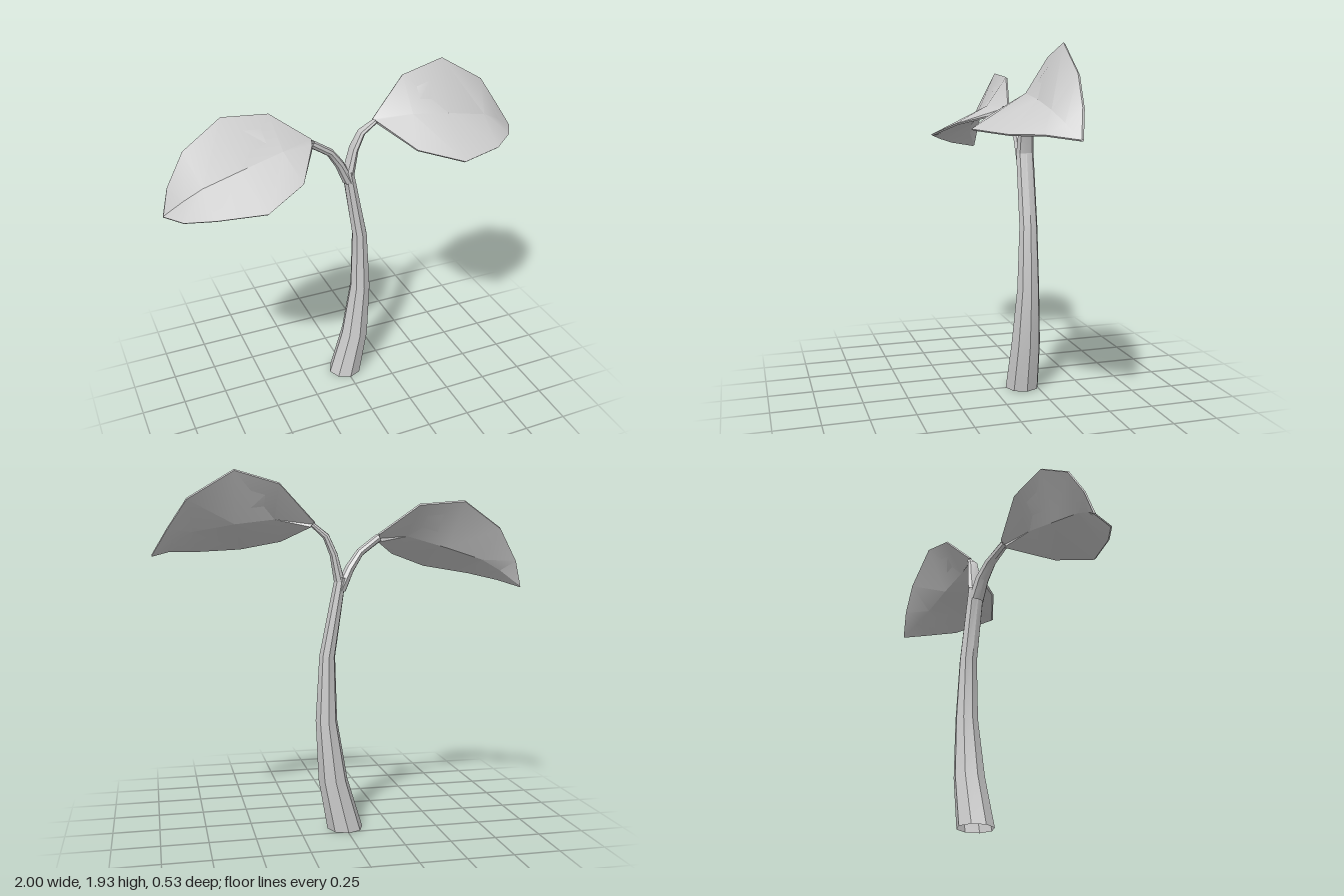
import * as THREE from 'three';
import { toCreasedNormals } from 'three/addons/utils/BufferGeometryUtils.js';

// Skin a list of closed point loops, each running right-handed around the path.
function loft(loops, flip = false) {
  const n = loops[0].length;
  const index = [];
  for (let i = 0; i < loops.length - 1; i++) {
    for (let j = 0; j < n; j++) {
      const a = i * n + j, b = i * n + (j + 1) % n;
      const c = b + n, d = a + n;
      if (flip) index.push(a, c, b, a, d, c);
      else index.push(a, b, c, a, c, d);
    }
  }
  const geo = new THREE.BufferGeometry();
  geo.setAttribute('position', new THREE.Float32BufferAttribute(loops.flat(2), 3));
  geo.setIndex(index);
  return toCreasedNormals(geo, THREE.MathUtils.degToRad(30));
}

// Eight-sided tube; each ring is [x, y, z, radius across, radius in z, tilt in degrees].
function tube(rings) {
  return loft(rings.map(([x, y, z, ru, rz, tilt]) => {
    const t = THREE.MathUtils.degToRad(tilt);
    return Array.from({ length: 8 }, (_, k) => {
      const a = k * Math.PI / 4, s = ru * Math.sin(a);
      return [x + s * Math.cos(t), y + s * Math.sin(t), z + rz * Math.cos(a)];
    });
  }));
}

// Folded leaf; each section is [upper edge, midrib, lower edge], with a thin back.
function leaf(sections, flip) {
  const back = ([x, y, z]) => [x, y - 0.008, z - 0.01];
  return loft(sections.map(([u, r, l]) => [u, r, l, back(l), back(r), back(u)]), flip);
}

export function createModel() {
  const group = new THREE.Group();
  const grey = new THREE.MeshStandardMaterial({ color: 0xcccccc, side: THREE.DoubleSide });
  grey.name = 'pale grey';
  const add = (name, geo) => {
    const mesh = new THREE.Mesh(geo, grey);
    mesh.name = name;
    group.add(mesh);
  };

  // Curved stem, open at the foot
  add('stem', tube([
    [0, 0, -0.17, 0.098, 0.098, 0],
    [0.067, 0.28, -0.17, 0.08, 0.085, 0],
    [0.103, 0.61, -0.17, 0.059, 0.064, 0],
    [0.098, 0.96, -0.17, 0.043, 0.052, 4],
    [0.026, 1.38, -0.17, 0.03, 0.05, 8],
  ]));

  // Two stalks forking from the stem
  add('leftStalk', tube([
    [0.03, 1.35, -0.17, 0.03, 0.05, 0],
    [0.062, 1.5, -0.165, 0.021, 0.042, -16],
    [0.1, 1.595, -0.15, 0.018, 0.032, -32],
    [0.17, 1.658, -0.125, 0.013, 0.02, -50],
  ]));
  add('rightStalk', tube([
    [0.03, 1.31, -0.17, 0.033, 0.048, 10],
    [-0.025, 1.425, -0.165, 0.026, 0.042, 35],
    [-0.085, 1.51, -0.15, 0.022, 0.034, 48],
    [-0.195, 1.588, -0.125, 0.022, 0.025, 60],
  ]));

  // Leaves, lofted from stalk to tip
  add('leftLeaf', leaf([
    [[0.155, 1.67, -0.13], [0.165, 1.665, -0.115], [0.175, 1.65, -0.12]],
    [[0.35, 1.87, -0.18], [0.36, 1.69, -0.06], [0.3, 1.57, 0.13]],
    [[0.58, 1.935, -0.175], [0.57, 1.665, -0.05], [0.51, 1.525, 0.265]],
    [[0.82, 1.79, -0.155], [0.79, 1.625, -0.04], [0.77, 1.515, 0.16]],
    [[0.92, 1.64, -0.14], [0.9, 1.57, -0.065], [0.91, 1.52, 0.04]],
    [[1, 1.505, -0.105], [1, 1.503, -0.103], [1, 1.501, -0.1]],
  ], false));
  add('rightLeaf', leaf([
    [[-0.19, 1.61, -0.14], [-0.195, 1.59, -0.115], [-0.19, 1.57, -0.12]],
    [[-0.4, 1.765, -0.195], [-0.37, 1.6, -0.07], [-0.335, 1.5, 0.13]],
    [[-0.65, 1.785, -0.2], [-0.6, 1.535, -0.07], [-0.555, 1.425, 0.225]],
    [[-0.86, 1.64, -0.19], [-0.8, 1.47, -0.08], [-0.79, 1.385, 0.12]],
    [[-0.96, 1.465, -0.175], [-0.9, 1.41, -0.1], [-0.93, 1.35, 0.015]],
    [[-1, 1.323, -0.155], [-1, 1.321, -0.15], [-1, 1.319, -0.145]],
  ], true));

  return group;
}
